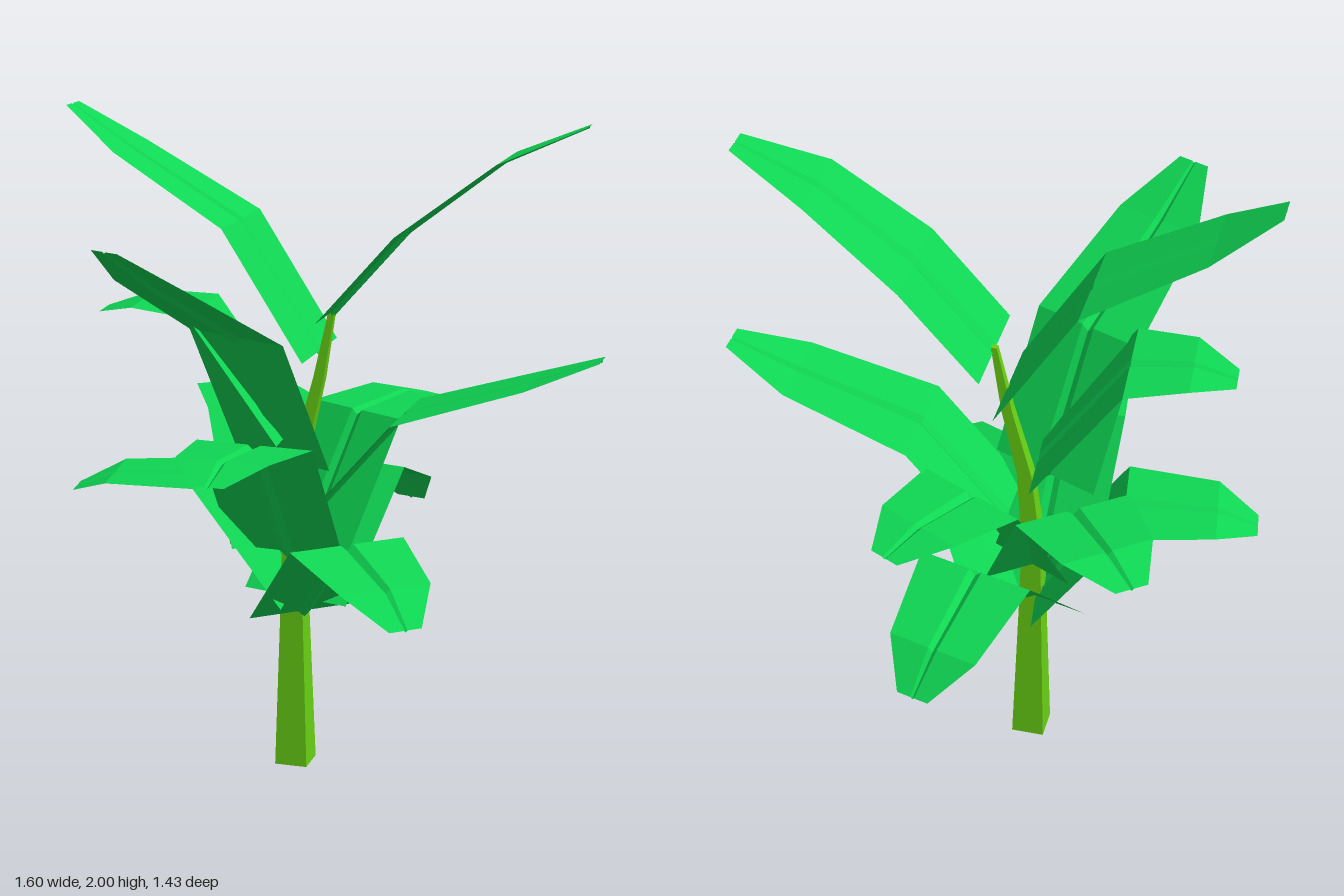
import * as THREE from 'three';

const leafMaterial = new THREE.MeshStandardMaterial({ color: 0x0fd653, flatShading: true, side: THREE.DoubleSide });
const trunkMaterial = new THREE.MeshStandardMaterial({ color: 0x68d014, flatShading: true });

// Half widths of the blade and of its keeled midrib, from base to tip
const BLADE = [0.18, 0.18, 0.14, 0.05];
const RIB = [0.022, 0.02, 0.014, 0.006];

// Midrib points of each leaf: base, bend, shoulder, tip
const LEAVES = {
  topRightLeaf: [[-0.04, 1.3, -0.02], [-0.28, 1.68, -0.02], [-0.62, 1.88, -0.02], [-0.8, 2, -0.02]],
  topLeftLeaf: [[0, 1.42, -0.02], [0.23, 1.68, -0.02], [0.51, 1.89, -0.02], [0.745, 1.99, -0.02]],
  middleLeftLeaf: [[-0.04, 0.83, -0.02], [0.22, 1.13, -0.02], [0.6, 1.25, -0.02], [0.8, 1.325, -0.02]],
  middleRightLeaf: [[-0.13, 1.05, -0.01], [-0.39, 1.42, 0.01], [-0.57, 1.435, 0.025], [-0.695, 1.4, 0.035]],
  lowerRightLeaf: [[-0.13, 0.55, -0.01], [-0.39, 0.91, 0.02], [-0.66, 0.905, 0.06], [-0.78, 0.855, 0.08]],
  tallFrontLeaf: [[-0.14, 0.97, 0.03], [-0.22, 1.38, 0.22], [-0.36, 1.58, 0.53], [-0.43, 1.7, 0.69]],
  middleFrontLeaf: [[-0.13, 0.69, 0.03], [-0.16, 1.07, 0.24], [-0.17, 1.09, 0.5], [-0.17, 1.05, 0.63]],
  lowerFrontLeaf: [[-0.08, 0.5, 0.01], [0.125, 0.8, 0.26], [0.29, 0.74, 0.445], [0.37, 0.655, 0.53]],
  backRightLeaf: [[-0.15, 0.69, -0.05], [-0.29, 1.07, -0.25], [-0.43, 1.09, -0.435], [-0.52, 1.05, -0.53]],
  backLeftLeaf: [[-0.1, 0.69, -0.05], [0.01, 1.07, -0.25], [0.11, 1.09, -0.455], [0.175, 1.055, -0.575]],
  lowerBackLeaf: [[-0.12, 0.53, -0.02], [-0.03, 0.88, -0.36], [0.03, 0.78, -0.61], [0.065, 0.67, -0.705]],
};

// Lofts flat blades with a shallow V-shaped midrib along the given points
function makeLeaf(name, points) {
  const path = points.map((p) => new THREE.Vector3(...p));
  const forward = path[3].clone().sub(path[0]).setY(0).normalize();
  const across = new THREE.Vector3(forward.z, 0, -forward.x);
  const positions = [];
  const index = [];
  path.forEach((p, i) => {
    [-BLADE[i], -RIB[i], 0, RIB[i], BLADE[i]].forEach((offset, j) => {
      const v = p.clone().addScaledVector(across, offset);
      if (j === 2) v.y -= RIB[i] * 0.9;
      positions.push(v.x, v.y, v.z);
      if (i < 3 && j < 4) {
        const a = i * 5 + j;
        index.push(a, a + 5, a + 1, a + 1, a + 5, a + 6);
      }
    });
  });
  let geometry = new THREE.BufferGeometry();
  geometry.setAttribute('position', new THREE.Float32BufferAttribute(positions, 3));
  // Reverse the corner order so that normals point up
  geometry.setIndex(index.reverse());
  geometry = geometry.toNonIndexed();
  geometry.computeVertexNormals();
  if (geometry.attributes.normal.getY(0) < 0) {
    geometry.setIndex([...Array(geometry.attributes.position.count).keys()].reverse());
    geometry.computeVertexNormals();
  }
  const leaf = new THREE.Mesh(geometry, leafMaterial);
  leaf.name = name;
  return leaf;
}

// Square trunk that tapers and leans: each row is x, y, half width
function makeTrunk() {
  const rows = [[-0.12, 0, 0.05], [-0.12, 0.5, 0.035], [-0.12, 0.75, 0.029], [-0.095, 1.0, 0.022], [-0.04, 1.22, 0.016], [0, 1.43, 0.009]];
  const last = rows.length - 1;
  const geometry = new THREE.CylinderGeometry(Math.SQRT2, Math.SQRT2, last, 4, last);
  geometry.rotateY(Math.PI / 4);
  const pos = geometry.attributes.position;
  for (let i = 0; i < pos.count; i++) {
    const [x, y, half] = rows[Math.round(pos.getY(i) + last / 2)];
    pos.setXYZ(i, x + pos.getX(i) * half, y, -0.02 + pos.getZ(i) * half);
  }
  geometry.computeVertexNormals();
  const trunk = new THREE.Mesh(geometry, trunkMaterial);
  trunk.name = 'trunk';
  return trunk;
}

export function createModel() {
  const plant = new THREE.Group();
  plant.name = 'broadLeafPlant';
  plant.add(makeTrunk());
  for (const [name, points] of Object.entries(LEAVES)) plant.add(makeLeaf(name, points));
  return plant;
}
